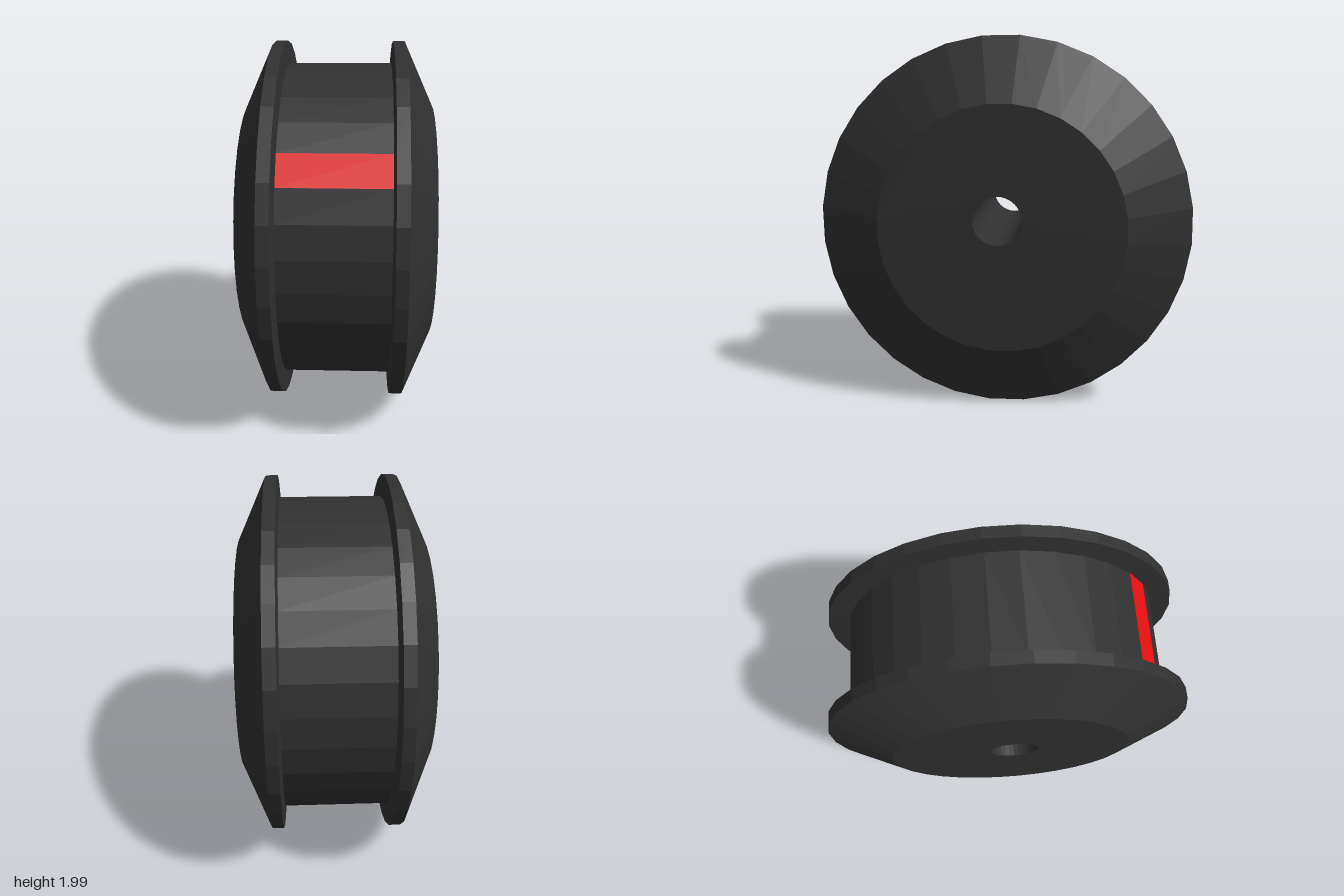
import * as THREE from 'three';

const SIDES = 32;
const START = THREE.MathUtils.degToRad(27.4); // elevation of one drum edge
const STEP = (Math.PI * 2) / SIDES;
const DRUM_R = 0.88, FACE_R = 0.655, FACE_X = 0.51;
const HOLE = { y: 0.05, z: 0.02, r: 0.13 };

export function createModel() {
  const dark = new THREE.MeshStandardMaterial({ color: 0x303030, flatShading: true, side: THREE.DoubleSide });
  dark.name = 'charcoal';
  const red = new THREE.MeshStandardMaterial({ color: 0xee1111 });
  red.name = 'red';
  const green = new THREE.MeshStandardMaterial({ color: 0x44cc11 });
  green.name = 'green';

  const wheel = new THREE.Group();
  wheel.name = 'wheel';
  wheel.position.y = 1;
  const add = (name, geometry, material) => {
    const mesh = new THREE.Mesh(geometry, material);
    mesh.name = name;
    wheel.add(mesh);
    return mesh;
  };

  // Turned parts: profile points are [radius, x], spun about the x axis
  const turn = (points) => new THREE.LatheGeometry(
    points.map(([r, x]) => new THREE.Vector2(r, x)), SIDES, -START).rotateZ(-Math.PI / 2);

  add('drum', turn([[DRUM_R, -0.28], [DRUM_R, 0.28]]), dark);
  add('leftFlange', turn([[DRUM_R, 0.28], [1, 0.289], [1, 0.353], [FACE_R, FACE_X]]), dark);
  add('rightFlange', turn([[FACE_R, -FACE_X], [1, -0.353], [1, -0.289], [DRUM_R, -0.28]]), dark);

  // Flat outer faces with the axle hole cut through
  for (const side of [1, -1]) {
    const corners = [];
    for (let i = 0; i < SIDES; i++) {
      const a = START + i * STEP;
      corners.push(new THREE.Vector2(-side * FACE_R * Math.cos(a), FACE_R * Math.sin(a)));
    }
    const shape = new THREE.Shape(corners);
    shape.holes.push(new THREE.Path().absarc(-side * HOLE.z, HOLE.y, HOLE.r, 0, Math.PI * 2, true));
    const face = new THREE.ShapeGeometry(shape, 16).rotateY(side * Math.PI / 2).translate(side * FACE_X, 0, 0);
    add(side > 0 ? 'leftFace' : 'rightFace', face, dark);
  }

  // Bore wall
  const bore = new THREE.CylinderGeometry(HOLE.r, HOLE.r, FACE_X * 2, 32, 1, true)
    .rotateZ(Math.PI / 2).translate(0, HOLE.y, HOLE.z);
  add('axleBore', bore, dark);

  // Coloured marks, each covering one facet of the drum
  const mark = (name, facet, material) => {
    const plate = new THREE.PlaneGeometry(0.56, 2 * DRUM_R * Math.sin(STEP / 2))
      .translate(0, 0, DRUM_R * Math.cos(STEP / 2) + 0.003)
      .rotateX(-(START + (facet + 0.5) * STEP));
    add(name, plate, material);
  };
  mark('redMark', 0, red);
  mark('greenMark', 19, green);

  const model = new THREE.Group();
  model.name = 'flangedWheel';
  model.add(wheel);
  return model;
}
